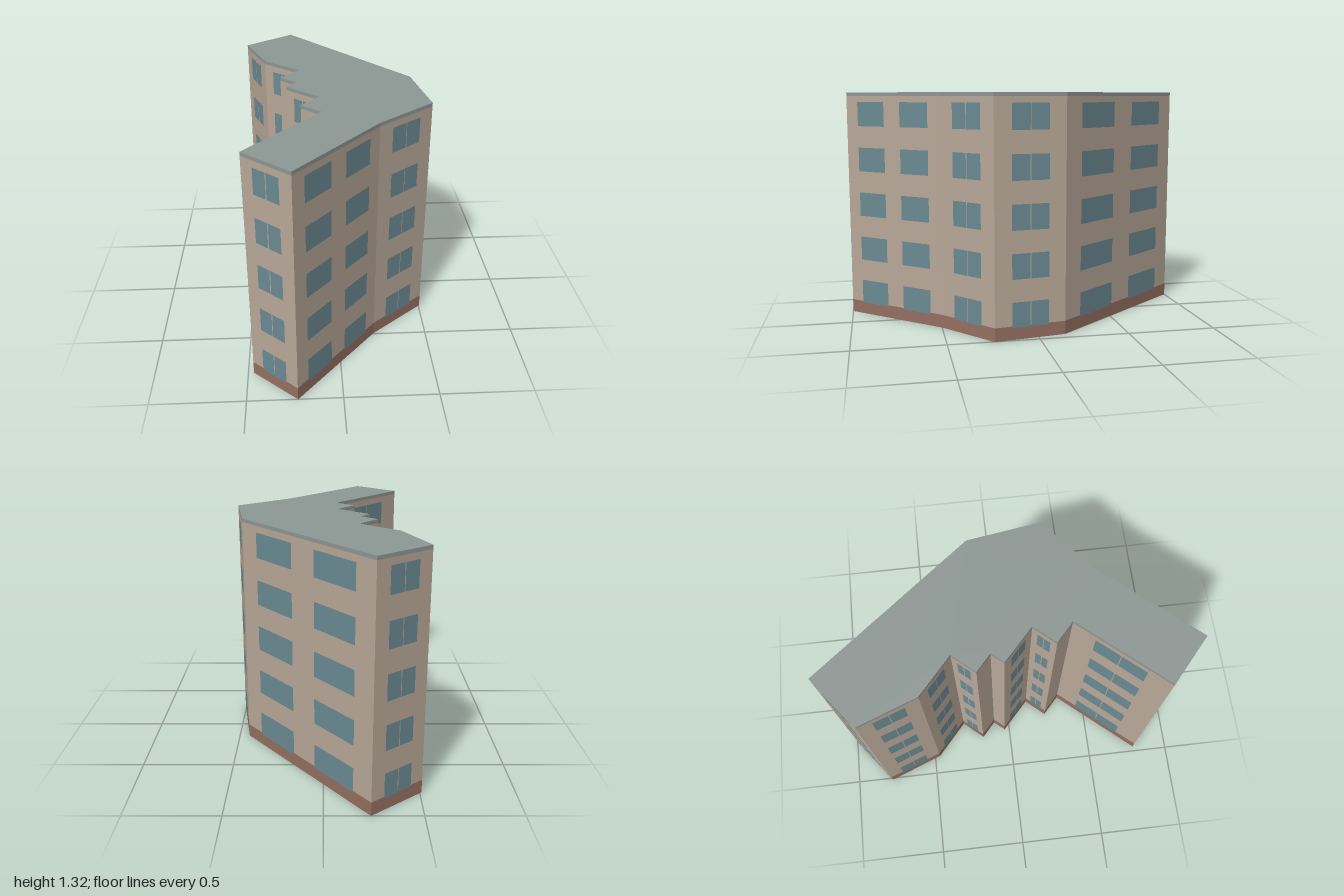
import * as THREE from 'three';

// Footprint corners as [x, z], clockwise seen from above
const OUTLINE = [
  [-0.235, -1], [0.442, -0.154], [0.505, 0.247], [0.203, 0.495], [-0.235, 1],
  [-0.47, 0.79], [-0.08, 0.34], [-0.185, 0.245], [-0.085, 0.13], [-0.26, -0.03],
  [-0.205, -0.095], [-0.295, -0.175], [-0.19, -0.295], [-0.39, -0.47], [-0.51, -0.785],
];
const HEIGHT = 1.315, PLINTH = 0.075, TRIM = 0.02;
const FLOORS = 5, FLOOR_STEP = 0.2635, WINDOW_BOTTOM = 0.067, WINDOW_HEIGHT = 0.139;

const paint = (color) => new THREE.MeshStandardMaterial({ color });

export function createModel() {
  const wall = paint(0xb8a898), brick = paint(0x946f60);
  const roof = paint(0x8d9793), glass = paint(0x6b8a93);
  const model = new THREE.Group();
  model.name = 'apartmentBlock';

  // Horizontal slice of the building between two heights
  const shape = new THREE.Shape(OUTLINE.map(([x, z]) => new THREE.Vector2(x, -z)));
  function slice(name, y0, y1, material) {
    const geo = new THREE.ExtrudeGeometry(shape, { depth: y1 - y0, bevelEnabled: false });
    geo.rotateX(-Math.PI / 2);
    const mesh = new THREE.Mesh(geo, material);
    mesh.name = name;
    mesh.position.y = y0;
    model.add(mesh);
  }
  slice('plinth', 0, PLINTH, [wall, brick]);
  slice('walls', PLINTH, HEIGHT - TRIM, wall);
  slice('roof', HEIGHT - TRIM, HEIGHT, roof);

  // Windows: two on long facades, one split pair on medium ones, none on short returns
  OUTLINE.forEach(([x0, z0], i) => {
    const [x1, z1] = OUTLINE[(i + 1) % OUTLINE.length];
    const dx = x1 - x0, dz = z1 - z0, length = Math.hypot(dx, dz);
    if (length < 0.15) return;

    const facade = new THREE.Group();
    facade.name = `facadeWindows${i + 1}`;
    facade.position.set((x0 + x1) / 2, 0, (z0 + z1) / 2);
    facade.rotation.y = Math.atan2(dz, -dx);
    model.add(facade);

    // Each pane is [centre along the facade, width]
    const gap = 0.005, half = 0.52 * length / 2;
    const panes = length > 0.62
      ? [[-0.23 * length, 0.29 * length], [0.23 * length, 0.29 * length]]
      : [[-half / 2 - gap / 4, half - gap / 2], [half / 2 + gap / 4, half - gap / 2]];

    for (let floor = 0; floor < FLOORS; floor++) {
      for (const [centre, width] of panes) {
        const pane = new THREE.Mesh(new THREE.PlaneGeometry(width, WINDOW_HEIGHT), glass);
        pane.name = 'windowPane';
        pane.position.set(centre, WINDOW_BOTTOM + WINDOW_HEIGHT / 2 + floor * FLOOR_STEP, 0.002);
        facade.add(pane);
      }
    }
  });
  return model;
}
